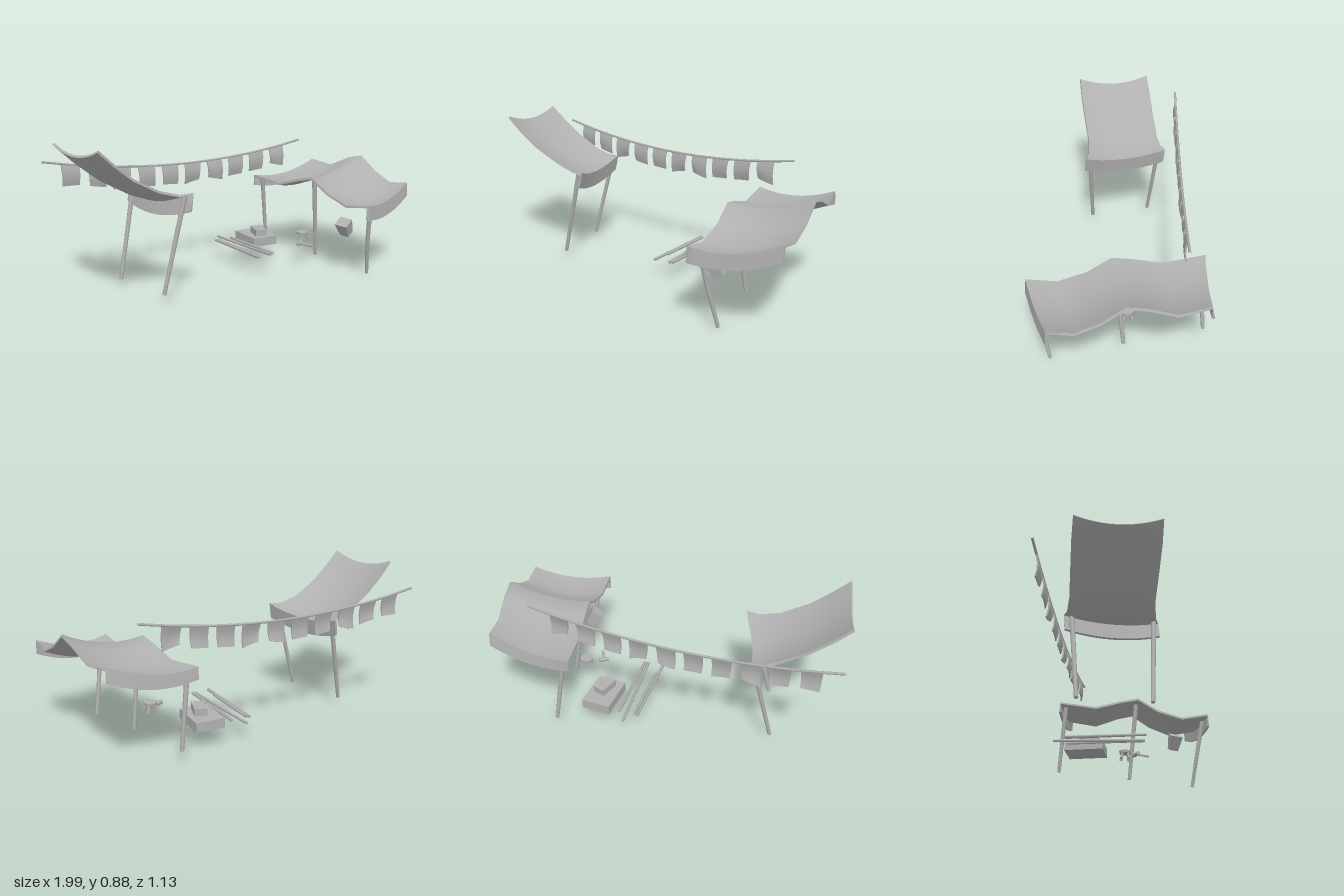
import * as THREE from 'three';
import { toCreasedNormals } from 'three/addons/utils/BufferGeometryUtils.js';

const grey = new THREE.MeshStandardMaterial({ color: 0xb0b0b0 });
grey.name = 'plain grey';

function add(parent, name, geometry) {
  const mesh = new THREE.Mesh(geometry, grey);
  mesh.name = name;
  parent.add(mesh);
  return mesh;
}

// Round bar between two points
function bar(parent, name, a, b, r0, r1 = r0, sides = 8) {
  const from = new THREE.Vector3(...a), to = new THREE.Vector3(...b);
  const dir = to.clone().sub(from);
  const mesh = add(parent, name, new THREE.CylinderGeometry(r1, r0, dir.length(), sides));
  mesh.position.copy(from).addScaledVector(dir, 0.5);
  mesh.quaternion.setFromUnitVectors(new THREE.Vector3(0, 1, 0), dir.normalize());
  return mesh;
}

// Thick sheet from a grid of points at(i, j)
function sheet(nu, nv, thick, at) {
  const mid = [], idx = [], w = nv + 1, count = (nu + 1) * w;
  for (let i = 0; i <= nu; i++) for (let j = 0; j <= nv; j++) mid.push(...at(i, j));
  for (let i = 0; i < nu; i++) for (let j = 0; j < nv; j++) {
    const a = i * w + j;
    idx.push(a, a + w, a + 1, a + 1, a + w, a + w + 1);
  }
  const base = new THREE.BufferGeometry();
  base.setAttribute('position', new THREE.Float32BufferAttribute(mid, 3));
  base.setIndex(idx);
  base.computeVertexNormals();
  const n = base.attributes.normal.array;
  const pos = [...mid.map((p, k) => p + n[k] * thick / 2), ...mid.map((p, k) => p - n[k] * thick / 2)];
  const all = [...idx];
  for (let k = 0; k < idx.length; k += 3) all.push(idx[k] + count, idx[k + 2] + count, idx[k + 1] + count);
  // rim, following the boundary in the direction of the top faces
  const rim = (a, b) => all.push(b, a, a + count, b, a + count, b + count);
  for (let i = 0; i < nu; i++) {
    rim(i * w, (i + 1) * w);
    rim((i + 1) * w + nv, i * w + nv);
  }
  for (let j = 0; j < nv; j++) {
    rim(j + 1, j);
    rim(nu * w + j, nu * w + j + 1);
  }
  const geo = new THREE.BufferGeometry();
  geo.setAttribute('position', new THREE.Float32BufferAttribute(pos, 3));
  geo.setIndex(all);
  return toCreasedNormals(geo, 1.05);
}

// Cloth spanned between two edges; each row is [x0,y0,z0, x1,y1,z1, bow in x]
function cloth(rows, sag) {
  const nv = 12;
  return sheet(rows.length - 1, nv, 0.014, (i, j) => {
    const r = rows[i], s = j / nv, f = 1 - (2 * s - 1) ** 2;
    const mix = k => r[k] + (r[k + 3] - r[k]) * s;
    return [mix(0) + (r[6] || 0) * f, mix(1) - sag * f, mix(2)];
  });
}

function buildLeanTo(root) {
  const g = new THREE.Group();
  g.name = 'smallCanopy';
  add(g, 'smallCanopyCloth', cloth([
    [-0.99, 0.872, 0.08, -0.99, 0.865, -0.365],
    [-0.9, 0.79, 0.082, -0.9, 0.785, -0.37],
    [-0.79, 0.705, 0.078, -0.79, 0.70, -0.37],
    [-0.63, 0.622, 0.075, -0.64, 0.615, -0.37],
    [-0.51, 0.587, 0.09, -0.55, 0.58, -0.38, -0.01],
    [-0.435, 0.592, 0.112, -0.5, 0.58, -0.398, -0.025],
    [-0.457, 0.5, 0.118, -0.517, 0.487, -0.392, -0.02],
  ], 0.045));
  bar(g, 'smallCanopyFrontPole', [-0.605, 0.05, 0.06], [-0.475, 0.575, 0.085], 0.011, 0.014);
  bar(g, 'smallCanopyBackPole', [-0.632, 0.05, -0.32], [-0.51, 0.565, -0.355], 0.011, 0.014);
  root.add(g);
}

function buildLongCanopy(root) {
  const g = new THREE.Group();
  g.name = 'longCanopy';
  add(g, 'longCanopyCloth', cloth([
    [0.97, 0.445, 0.478, 0.492, 0.372, 0.553],
    [0.972, 0.52, 0.476, 0.492, 0.452, 0.55],
    [0.98, 0.5, 0.345, 0.503, 0.425, 0.385],
    [0.988, 0.557, 0.215, 0.51, 0.475, 0.225],
    [0.993, 0.643, 0.095, 0.508, 0.553, 0.095],
    [0.992, 0.617, -0.01, 0.505, 0.527, -0.02],
    [0.985, 0.551, -0.16, 0.503, 0.48, -0.18],
    [0.975, 0.572, -0.325, 0.497, 0.503, -0.412],
    [0.975, 0.5, -0.335, 0.499, 0.442, -0.412],
  ], 0.042));
  bar(g, 'frontPoleTop', [0.583, 0.24, 0.492], [0.555, 0.43, 0.525], 0.013, 0.014);
  bar(g, 'frontPoleBottom', [0.632, 0.003, 0.455], [0.583, 0.24, 0.492], 0.01, 0.013);
  bar(g, 'middlePole', [0.617, 0.035, 0.047], [0.55, 0.53, 0.085], 0.011, 0.015);
  bar(g, 'backPole', [0.602, 0.07, -0.405], [0.54, 0.49, -0.375], 0.011, 0.014);
  root.add(g);
}

function buildBunting(root) {
  const g = new THREE.Group();
  g.name = 'bunting';
  const ropeAt = x => {
    const t = (x + 0.105) / 0.86;
    return new THREE.Vector3(x, 0.655 + 0.085 * t * t, -0.4075 + 0.1525 * t);
  };
  const pts = [];
  for (let i = 0; i <= 10; i++) pts.push(ropeAt(-0.965 + 0.172 * i));
  add(g, 'rope', new THREE.TubeGeometry(new THREE.CatmullRomCurve3(pts), 40, 0.007, 6));
  // slightly billowing flags, alternately skewed
  const yaw = -Math.atan(0.305 / 1.72);
  for (let i = 0; i < 10; i++) {
    const x = -0.805 + 0.153 * i, p = ropeAt(x);
    const slope = 0.17 * (x + 0.105) / 0.7396, wob = Math.sin(i * 2.3);
    const flag = add(g, 'flag', sheet(6, 5, 0.008, (a, b) => {
      const u = a / 6 - 0.5, v = b / 5;
      return [u * (0.108 - 0.01 * v) + 0.006 * wob * v,
        slope * u * 0.108 * (1 - v) - 0.004 - v * (0.115 + 0.012 * wob * u * 2),
        0.01 * Math.sin(v * Math.PI) + 0.008 * wob * v * (1 - 4 * u * u)];
    }));
    flag.position.copy(p);
    flag.rotation.y = yaw;
  }
  root.add(g);
}

function box(parent, name, size, at, yaw) {
  const m = add(parent, name, new THREE.BoxGeometry(...size));
  m.position.set(...at);
  m.rotation.y = yaw;
  return m;
}

function buildGoods(root) {
  const g = new THREE.Group();
  g.name = 'goods';
  // stacked crates
  box(g, 'largeCrate', [0.17, 0.055, 0.235], [0.356, 0.1375, -0.242], -0.21);
  box(g, 'smallCrate', [0.072, 0.042, 0.118], [0.356, 0.185, -0.217], -0.45);
  // loose sticks
  const sticks = [
    [0.06, 0.1, 0.13, -0.38], [0.09, 0.0, 0.145, -0.37],
    [0.155, 0.1, 0.2, -0.44], [0.175, 0.1, 0.24, -0.36],
  ];
  sticks.forEach(([x0, z0, x1, z1], i) =>
    bar(g, 'stick', [x0, 0.135 + 0.004 * (i % 2), z0], [x1, 0.132, z1], 0.009, 0.008, 6));
  // stool
  const seat = add(g, 'stoolSeat', new THREE.CylinderGeometry(0.038, 0.036, 0.016, 14));
  seat.position.set(0.527, 0.187, 0.012);
  for (const sx of [-1, 1]) for (const sz of [-1, 1])
    bar(g, 'stoolLeg', [0.527 + sx * 0.03, 0.14, 0.012 + sz * 0.026],
      [0.527 + sx * 0.017, 0.182, 0.012 + sz * 0.016], 0.009, 0.007, 6);
  // mallet
  bar(g, 'malletHead', [0.408, 0.145, 0.085], [0.462, 0.145, 0.062], 0.013, 0.013, 8);
  bar(g, 'malletHandle', [0.435, 0.145, 0.075], [0.462, 0.143, 0.155], 0.006, 0.008, 6);
  // hanging lantern: a box narrowing downwards, tilted
  const geo = new THREE.BoxGeometry(0.072, 0.096, 0.082);
  const p = geo.attributes.position;
  for (let i = 0; i < p.count; i++) if (p.getY(i) < 0) {
    p.setX(i, p.getX(i) * 0.75);
    p.setZ(i, p.getZ(i) * 0.7);
  }
  geo.computeVertexNormals();
  const lantern = add(g, 'lantern', geo);
  lantern.position.set(0.558, 0.277, 0.335);
  lantern.rotation.set(0.08, 0.15, 0.55);
  root.add(g);
}

export function createModel() {
  const root = new THREE.Group();
  root.name = 'marketCanopies';
  buildLeanTo(root);
  buildLongCanopy(root);
  buildBunting(root);
  buildGoods(root);
  return root;
}
